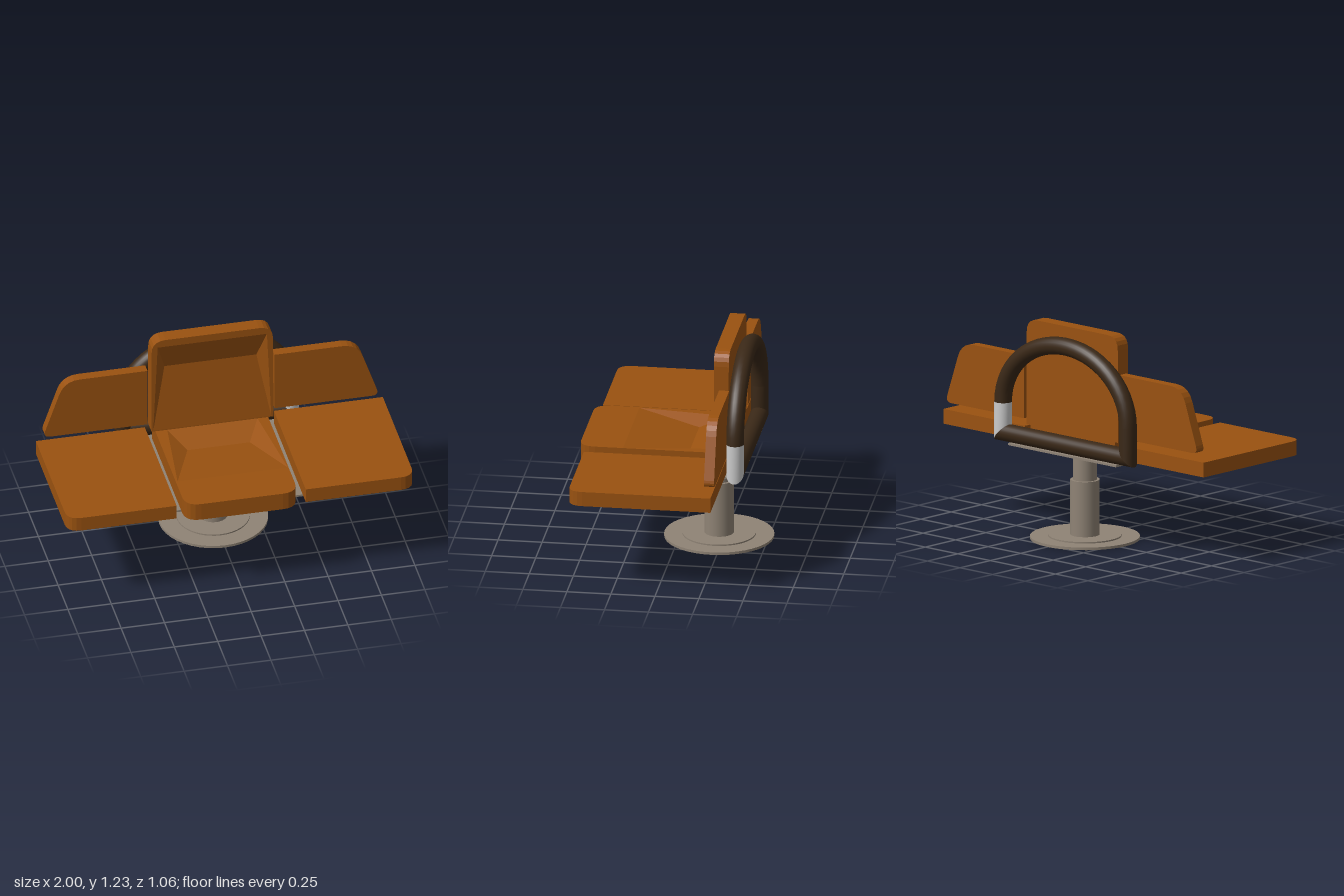
import * as THREE from 'three';

const mat = (color, extra = {}) => new THREE.MeshStandardMaterial({ color, ...extra });

export function createModel() {
  const model = new THREE.Group();
  const leather = mat(0x9a5210, { flatShading: true });
  const metal = mat(0x8f8375);
  const darkTube = mat(0x3a2817);
  const bareTube = mat(0xcccccc);

  const add = (name, geometry, material, parent = model) => {
    const mesh = new THREE.Mesh(geometry, material);
    mesh.name = name;
    parent.add(mesh);
    return mesh;
  };

  // Polygon outline from [x, y, cornerRadius] points
  const outline = (pts) => {
    const shape = new THREE.Shape();
    pts.forEach(([x, y, r = 0], i) => {
      const p = new THREE.Vector2(x, y);
      const toward = (q) => new THREE.Vector2(q[0], q[1]).sub(p).setLength(r).add(p);
      const a = toward(pts[(i + pts.length - 1) % pts.length]);
      const b = toward(pts[(i + 1) % pts.length]);
      if (i) shape.lineTo(a.x, a.y); else shape.moveTo(a.x, a.y);
      if (r) shape.quadraticCurveTo(x, y, b.x, b.y);
    });
    shape.closePath();
    return shape;
  };
  const slab = (shape, depth) =>
    new THREE.ExtrudeGeometry(shape, { depth, bevelEnabled: false, curveSegments: 5 });

  // Cushion with a faceted hollow: rim [halfWidth, v] at both ends, ridge at the deepest line
  const dishedCushion = (name, pts, thick, dip, [w0, v0], [w1, v1], [w2, v2]) => {
    const group = new THREE.Group();
    group.name = name;
    add('cushionBody', slab(outline(pts), thick - dip - 0.002), leather, group);
    const ring = outline(pts);
    ring.holes.push(new THREE.Path([[-w0, v0], [-w2, v2], [w2, v2], [w0, v0]]
      .map((p) => new THREE.Vector2(...p))));
    const rimGeo = slab(ring, dip + 0.002).translate(0, 0, thick - dip - 0.002);
    add('cushionRim', rimGeo, leather, group);
    const low = thick - dip;
    const corners = [[-w0, v0, thick], [w0, v0, thick], [w1, v1, low],
      [-w1, v1, low], [w2, v2, thick], [-w2, v2, thick]];
    const hollow = new THREE.BufferGeometry();
    hollow.setAttribute('position', new THREE.Float32BufferAttribute(corners.flat(), 3));
    hollow.setIndex([0, 1, 2, 0, 2, 3, 3, 2, 4, 3, 4, 5, 0, 3, 5, 1, 4, 2]);
    const flat = hollow.toNonIndexed();
    flat.computeVertexNormals();
    add('cushionHollow', flat, leather, group);
    model.add(group);
    return group;
  };

  // Pedestal: stacked discs and columns
  [['baseDisc', 0.31, 0, 0.015], ['baseStep', 0.207, 0.015, 0.023],
    ['lowerColumn', 0.083, 0.023, 0.34], ['upperColumn', 0.067, 0.34, 0.505]]
    .forEach(([name, r, y0, y1]) => {
      add(name, new THREE.CylinderGeometry(r, r, y1 - y0, 40), metal)
        .position.set(0, (y0 + y1) / 2, -0.22);
    });
  add('mountingPlate', new THREE.BoxGeometry(0.83, 0.012, 0.82), metal).position.y = 0.509;

  // Centre seat and tall backrest
  const seat = dishedCushion('centreSeat',
    [[-0.328, -0.53, 0.09], [0.322, -0.53, 0.09], [0.322, 0.325], [-0.328, 0.325]],
    0.105, 0.045, [0.318, -0.28], [0.18, 0.08], [0.26, 0.24]);
  seat.rotation.x = -Math.PI / 2;
  seat.position.y = 0.515;

  const back = dishedCushion('centreBackrest',
    [[-0.35, 0.62], [0.352, 0.62], [0.35, 1.23, 0.08], [-0.35, 1.23, 0.08]],
    0.085, 0.05, [0.34, 0.625], [0.265, 1.02], [0.315, 1.185]);
  back.position.z = -0.325;

  // Side seats and sloped side backrests
  for (const s of [1, -1]) {
    const side = s > 0 ? 'left' : 'right';
    const seatGeo = slab(outline([[s * 0.372, -0.495], [s, -0.495, 0.08],
      [s, 0.315], [s * 0.372, 0.315]]), 0.085);
    seatGeo.rotateX(-Math.PI / 2).translate(0, 0.52, 0);
    add(side + 'SideSeat', seatGeo, leather);

    const wingGeo = slab(outline([[s * 0.366, 0.652], [s * 0.97, 0.652, 0.045],
      [s * 0.845, 1.014, 0.09], [s * 0.366, 1.014]]), 0.058);
    add(side + 'SideBackrest', wingGeo.translate(0, 0, -0.33), leather);
  }

  // Round tube swept through rings [x, y, ux, uy]; u is the outward direction, mitred at corners
  const sweep = (rings, r = 0.05, n = 24) => {
    const pos = [], index = [];
    rings.forEach(([x, y, ux, uy], i) => {
      for (let j = 0; j < n; j++) {
        const a = (j / n) * Math.PI * 2;
        const c = r * Math.cos(a);
        pos.push(x + c * ux, y + c * uy, -0.38 + r * Math.sin(a));
        if (i === rings.length - 1) continue;
        const p = i * n + j, q = i * n + ((j + 1) % n);
        index.push(p, p + n, q, q, p + n, q + n);
      }
    });
    const g = new THREE.BufferGeometry();
    g.setAttribute('position', new THREE.Float32BufferAttribute(pos, 3));
    g.setIndex(index);
    g.computeVertexNormals();
    return g;
  };

  // Rear hoop: arch, two legs and a bottom bar
  const hoop = new THREE.Group();
  hoop.name = 'rearHoop';
  model.add(hoop);
  const RX = 0.48, RY = 0.39, SPRING = 0.74, BAR = 0.565;
  const arch = [];
  for (let i = 0; i <= 28; i++) {
    const a = (i / 28) * Math.PI;
    const u = new THREE.Vector2(Math.cos(a) / RX, Math.sin(a) / RY).normalize();
    arch.push([RX * Math.cos(a), SPRING + RY * Math.sin(a), u.x, u.y]);
  }
  add('hoopArch', sweep(arch), darkTube, hoop);
  add('hoopRightLeg', sweep([[-RX, SPRING, -1, 0], [-RX, BAR, -1, -1]]), darkTube, hoop);
  add('hoopBottomBar', sweep([[-RX, BAR, -1, -1], [RX, BAR, 1, -1]]), darkTube, hoop);
  add('hoopLeftLeg', sweep([[RX, BAR, 1, -1], [RX, SPRING, 1, 0]]), bareTube, hoop);

  return model;
}
